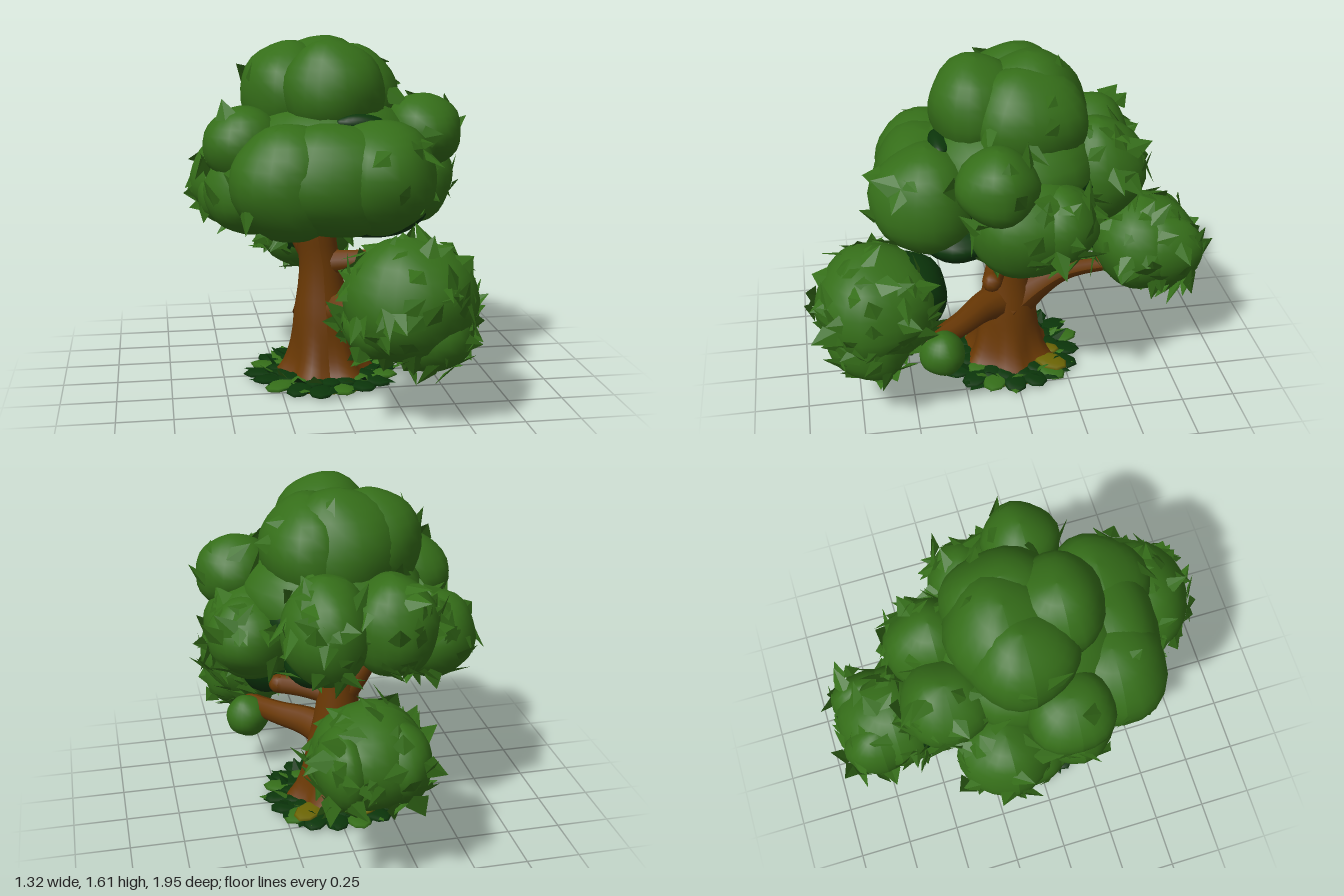
import * as THREE from 'three';

const mat = (name, color, side = THREE.FrontSide) => {
  const m = new THREE.MeshStandardMaterial({ color, side });
  m.name = name;
  return m;
};

export function createModel() {
  const tree = new THREE.Group();
  tree.name = 'tree';
  const green = mat('leaf green', 0x356e19, THREE.DoubleSide);
  const dark = mat('dark leaf green', 0x0b350a, THREE.DoubleSide);
  const bark = mat('bark brown', 0x693804, THREE.DoubleSide);
  const olive = mat('olive', 0x6b6404);

  let seed = 7;
  const rand = (a = 0, b = 1) => {
    seed = (seed * 16807) % 2147483647;
    return a + (b - a) * seed / 2147483647;
  };
  const V = (x, y, z) => new THREE.Vector3(x, y, z);
  const add = (name, geo, material, parent = tree) => {
    const m = new THREE.Mesh(geo, material);
    m.name = name;
    parent.add(m);
    return m;
  };

  // Folded pointed leaf: two triangles sharing a midrib
  const pushLeaf = (out, base, dir, up, len, width) => {
    const side = V().crossVectors(dir, up).normalize().multiplyScalar(width / 2);
    const mid = base.clone().addScaledVector(dir, len * 0.35).addScaledVector(up, -width * 0.12);
    const tip = base.clone().addScaledVector(dir, len);
    const l = mid.clone().sub(side), r = mid.clone().add(side);
    for (const p of [base, r, tip, base, tip, l]) out.push(p.x, p.y, p.z);
  };
  const leafGeometry = (pos) => {
    const g = new THREE.BufferGeometry();
    g.setAttribute('position', new THREE.Float32BufferAttribute(pos, 3));
    g.computeVertexNormals();
    return g;
  };

  // Slightly lumpy ellipsoid of foliage
  const lobeGeometry = ([x, y, z, rx, ry, rz], k) => {
    const g = new THREE.SphereGeometry(1, 22, 15);
    const p = g.attributes.position, v = V();
    for (let i = 0; i < p.count; i++) {
      v.fromBufferAttribute(p, i);
      const s = 1 + 0.03 * Math.sin(4 * v.x + k) * Math.sin(5 * v.y + 2 * k) + 0.025 * Math.sin(5 * v.z + 3 * k);
      p.setXYZ(i, x + v.x * rx * s, y + v.y * ry * s, z + v.z * rz * s);
    }
    g.computeVertexNormals();
    return g;
  };

  // Foliage group: each lobe is [x, y, z, rx, ry, rz, leafCount]
  const foliage = (name, lobes, shades) => {
    const group = new THREE.Group();
    group.name = name;
    tree.add(group);
    const pos = [];
    lobes.forEach((lobe, k) => {
      add('leafLobe', lobeGeometry(lobe, k), green, group);
      const [x, y, z, rx, ry, rz, count] = lobe;
      for (let i = 0; i < count; i++) {
        const h = rand(-0.95, 0.95), a = rand(0, 2 * Math.PI), c = Math.sqrt(1 - h * h);
        const n = V(c * Math.cos(a), h, c * Math.sin(a));
        const base = V(x + n.x * rx * 0.98, y + n.y * ry * 0.98, z + n.z * rz * 0.98);
        const t = V(rand(-1, 1), rand(-1, 1), rand(-1, 1)).cross(n).normalize();
        const tilt = rand(0, 0.45);
        const dir = t.clone().multiplyScalar(Math.cos(tilt)).addScaledVector(n, Math.sin(tilt));
        const up = n.clone().multiplyScalar(Math.cos(tilt)).addScaledVector(t, -Math.sin(tilt));
        const buried = lobes.some((o) => o !== lobe &&
          ((base.x - o[0]) / o[3]) ** 2 + ((base.y - o[1]) / o[4]) ** 2 + ((base.z - o[2]) / o[5]) ** 2 < 0.95);
        if (!buried) pushLeaf(pos, base, dir, up, rand(0.09, 0.15), rand(0.07, 0.11));
      }
    });
    add('leaves', leafGeometry(pos), green, group);
    shades.forEach((s) => add('innerShade', lobeGeometry(s, 2), dark, group));
    return group;
  };

  foliage('crown', [
    [0, 1.38, 0.15, 0.23, 0.23, 0.22, 2],
    [-0.17, 1.35, -0.05, 0.23, 0.24, 0.25, 6],
    [0.11, 1.33, -0.06, 0.22, 0.25, 0.27, 14],
    [-0.03, 1.33, -0.09, 0.28, 0.28, 0.27, 10],
    [-0.22, 1.01, 0.34, 0.27, 0.26, 0.27, 12],
    [0.17, 1.03, 0.4, 0.25, 0.25, 0.25, 12],
    [-0.03, 1.02, 0.38, 0.36, 0.25, 0.25, 6],
    [0.42, 1.19, 0.12, 0.18, 0.17, 0.18, 8],
    [0.37, 0.96, -0.02, 0.22, 0.23, 0.26, 24],
    [0.4, 0.98, -0.15, 0.19, 0.18, 0.18, 40],
    [-0.4, 1.14, 0.1, 0.19, 0.18, 0.2, 6],
    [-0.43, 0.94, -0.2, 0.2, 0.2, 0.22, 45],
    [-0.46, 0.87, -0.12, 0.15, 0.14, 0.18, 10],
    [-0.38, 0.93, 0.12, 0.2, 0.19, 0.2, 10],
    [-0.19, 1.08, -0.4, 0.2, 0.23, 0.21, 40],
    [0.1, 1.07, -0.39, 0.2, 0.25, 0.22, 45],
    [0, 1.12, 0, 0.42, 0.26, 0.42, 0],
  ], [
    [0, 1.06, 0, 0.42, 0.22, 0.42],
    [0.16, 0.85, 0.26, 0.24, 0.11, 0.2],
    [0.13, 0.85, -0.25, 0.13, 0.1, 0.12],
    [0.09, 1.26, 0.33, 0.11, 0.04, 0.05],
  ]);

  foliage('frontFoliage', [
    [0.25, 0.55, 0.66, 0.29, 0.27, 0.28, 100],
    [0.34, 0.42, 0.69, 0.19, 0.18, 0.19, 40],
    [0.11, 0.44, 0.64, 0.15, 0.14, 0.19, 25],
    [0.35, 0.31, 0.37, 0.105, 0.105, 0.105, 0],
  ], [[0.22, 0.57, 0.52, 0.2, 0.2, 0.19]]);

  const back = foliage('backFoliage', [
    [-0.02, 0.6, -0.66, 0.25, 0.23, 0.25, 80],
    [-0.14, 0.6, -0.74, 0.13, 0.18, 0.18, 40],
    [0.11, 0.6, -0.74, 0.12, 0.18, 0.18, 40],
  ], [[-0.07, 0.62, -0.58, 0.17, 0.17, 0.175]]);
  add('underLeaf', lobeGeometry([0.02, 0.385, -0.71, 0.07, 0.02, 0.07], 1), olive, back);

  // Trunk: lathe with root ridges at the foot and a slight lean
  const profile = new THREE.SplineCurve([
    [0.23, 0.02], [0.185, 0.08], [0.155, 0.18], [0.135, 0.32], [0.108, 0.47], [0.095, 0.62], [0.095, 0.76], [0.06, 1.0],
  ].map(([r, y]) => new THREE.Vector2(r, y)));
  const trunk = new THREE.LatheGeometry(profile.getPoints(20), 28);
  const tp = trunk.attributes.position;
  for (let i = 0; i < tp.count; i++) {
    const x = tp.getX(i), y = tp.getY(i), z = tp.getZ(i);
    const flare = 1 + 0.14 * Math.max(0, 1 - y / 0.25) * Math.cos(6 * Math.atan2(z, x));
    const lean = Math.max(0, y - 0.55);
    tp.setXYZ(i, x * flare - 0.015 - 0.04 * y - 0.12 * lean, y, z * flare + 0.005);
  }
  trunk.computeVertexNormals();
  add('trunk', trunk, bark);

  // Tapered branches with rounded ends
  const branch = (name, points, r0, r1) => {
    const curve = new THREE.CatmullRomCurve3(points.map((p) => V(...p)));
    const g = new THREE.TubeGeometry(curve, 14, 1, 10);
    const p = g.attributes.position, v = V();
    for (let i = 0; i < p.count; i++) {
      const t = Math.floor(i / 11) / 14, c = curve.getPointAt(t);
      const r = r1 + (r0 - r1) * (1 - t) ** 2;
      v.fromBufferAttribute(p, i).sub(c).multiplyScalar(r).add(c);
      p.setXYZ(i, v.x, v.y, v.z);
    }
    g.computeVertexNormals();
    add(name, g, bark);
    add(name + 'End', new THREE.SphereGeometry(r1, 10, 8), bark).position.set(...points[points.length - 1]);
  };
  branch('frontBranch', [[-0.03, 0.33, 0], [0.08, 0.36, 0.14], [0.2, 0.36, 0.26], [0.32, 0.35, 0.42]], 0.1, 0.052);
  branch('backBranch', [[-0.03, 0.32, 0], [-0.03, 0.4, -0.13], [-0.03, 0.46, -0.27], [-0.02, 0.485, -0.5]], 0.14, 0.04);
  branch('stubBranch', [[-0.03, 0.56, 0.02], [0.1, 0.58, 0.08], [0.23, 0.595, 0.12]], 0.065, 0.046);
  branch('sideBranch', [[-0.04, 0.56, 0], [-0.12, 0.68, -0.04], [-0.22, 0.86, -0.08]], 0.08, 0.045);

  // Ground disc with rings of rounded leaves, pointed leaves and tufts
  const ground = new THREE.Group();
  ground.name = 'ground';
  ground.position.set(-0.025, 0, 0.015);
  tree.add(ground);
  add('groundDisc', new THREE.CylinderGeometry(0.29, 0.29, 0.008, 28), olive, ground).position.y = 0.012;
  const roundLeaf = (a, radius, y, size, material) => {
    const leaf = add('roundLeaf', new THREE.SphereGeometry(1, 8, 6), material, ground);
    leaf.scale.set(size, 0.016, size * 0.7);
    leaf.position.set(radius * Math.cos(a), y, radius * Math.sin(a));
    leaf.rotation.set(0, -a, rand(-0.1, 0.1));
  };
  for (let i = 0; i < 18; i++) {
    const a = i / 18 * 2 * Math.PI;
    roundLeaf(a, rand(0.27, 0.3), 0.027, 0.085, i % 3 === 1 ? green : dark);
    roundLeaf(a + 0.15, 0.2, 0.034, 0.075, i % 4 === 2 ? green : dark);
  }
  roundLeaf(-0.85, 0.26, 0.046, 0.09, olive);
  roundLeaf(-1.25, 0.21, 0.046, 0.06, olive);
  const litter = { green: [], dark: [] };
  const ring = (count, radius, lenMin, lenMax, width, liftMin, liftMax, every) => {
    for (let i = 0; i < count; i++) {
      const a = (i + rand(-0.3, 0.3)) / count * 2 * Math.PI, lift = rand(liftMin, liftMax);
      const out = V(Math.cos(a), 0, Math.sin(a));
      const yaw = V(-out.z, 0, out.x).multiplyScalar(rand(-0.4, 0.4));
      const flat = out.clone().add(yaw).normalize();
      const dir = flat.clone().multiplyScalar(Math.cos(lift)).setY(Math.sin(lift));
      const up = flat.clone().multiplyScalar(-Math.sin(lift)).setY(Math.cos(lift));
      const base = out.multiplyScalar(radius).setY(rand(0.03, 0.04));
      pushLeaf(i % every ? litter.dark : litter.green, base, dir, up, rand(lenMin, lenMax), width);
    }
  };
  ring(24, 0.26, 0.09, 0.13, 0.09, -0.15, 0.02, 4);
  ring(20, 0.23, 0.07, 0.11, 0.07, 0.25, 0.8, 2);
  add('greenLitter', leafGeometry(litter.green), green, ground);
  add('darkLitter', leafGeometry(litter.dark), dark, ground);

  return tree;
}
